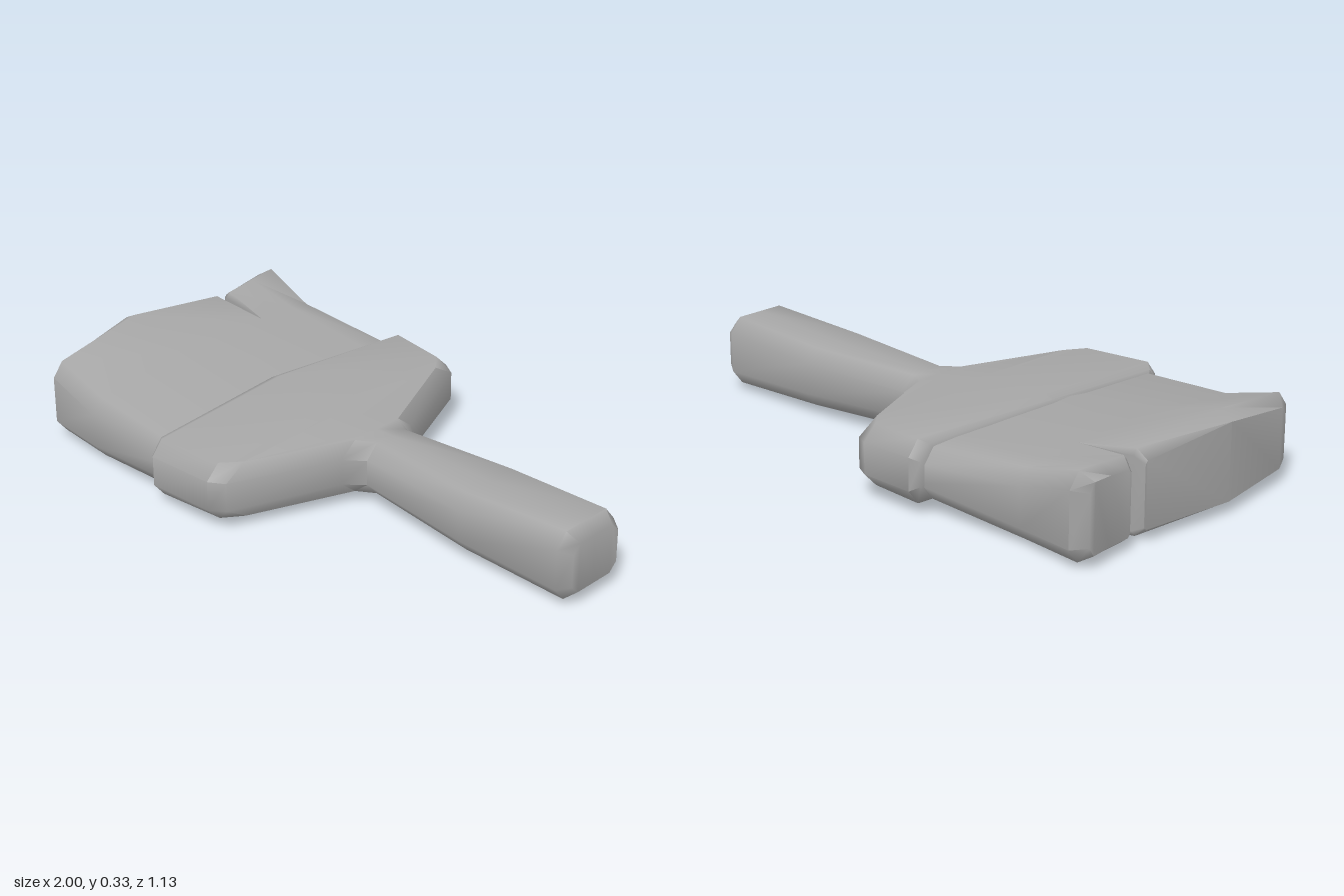
import * as THREE from 'three';
import { mergeGeometries } from 'three/addons/utils/BufferGeometryUtils.js';

// One bevelled cross-section. x, z, top and bottom are given at front, middle and back;
// each bevel is [inset in z, inset in y].
function ring([x, z, top, bottom, front, back]) {
  const p = (i, dz, y) => new THREE.Vector3(x[i], y, z[i] + dz);
  return [
    p(0, 0, bottom[0] + front[1]), p(0, 0, top[0] - front[1]), p(0, -front[0], top[0]),
    p(1, 0, top[1]),
    p(2, back[0], top[2]), p(2, 0, top[2] - back[1]), p(2, 0, bottom[2] + back[1]), p(2, back[0], bottom[2]),
    p(1, 0, bottom[1]),
    p(0, -front[0], bottom[0]),
  ];
}

// Skins cross-sections that run in +x, and closes the chosen end.
function loft(sections, capStart, capEnd) {
  const rings = sections.map(ring);
  const pos = [];
  const quad = (a, b, c, d) => [a, b, c, a, c, d].forEach((v) => pos.push(v.x, v.y, v.z));
  for (let i = 0; i < rings.length - 1; i++) {
    const r = rings[i], s = rings[i + 1];
    for (let j = 0; j < 10; j++) {
      const k = (j + 1) % 10;
      quad(r[j], s[j], s[k], r[k]);
    }
  }
  const strips = [[0, 1, 2, 9], [9, 2, 3, 8], [8, 3, 4, 7], [7, 4, 5, 6]];
  for (const c of strips) {
    const r = rings[0], s = rings[rings.length - 1];
    if (capStart) quad(...c.map((i) => r[i]));
    if (capEnd) quad(...c.map((i) => s[i]).reverse());
  }
  const g = new THREE.BufferGeometry();
  g.setAttribute('position', new THREE.Float32BufferAttribute(pos, 3));
  return g;
}

// Area-weighted smooth normals, kept sharp across steep edges.
function smooth(geometry, crease = 0.95) {
  const pos = geometry.attributes.position;
  const at = (i) => new THREE.Vector3().fromBufferAttribute(pos, i);
  const key = (v) => v.toArray().map((n) => Math.round(n * 1e4)).join();
  const faces = [], shared = {};
  for (let i = 0; i < pos.count; i += 3) {
    const [a, b, c] = [at(i), at(i + 1), at(i + 2)];
    const n = b.clone().sub(a).cross(c.clone().sub(a));
    const face = { n, u: n.clone().normalize() };
    faces.push(face);
    for (const v of [a, b, c]) (shared[key(v)] ??= []).push(face);
  }
  const normals = [];
  for (let i = 0; i < pos.count; i++) {
    const own = faces[Math.floor(i / 3)];
    const sum = new THREE.Vector3();
    for (const f of shared[key(at(i))]) if (f.u.dot(own.u) > Math.cos(crease)) sum.add(f.n);
    normals.push(...sum.normalize().toArray());
  }
  geometry.setAttribute('normal', new THREE.Float32BufferAttribute(normals, 3));
  return geometry;
}

export function createModel() {
  const grey = new THREE.MeshStandardMaterial({ color: 0xa6a6a6 });
  grey.name = 'grey';
  const model = new THREE.Group();
  model.name = 'paintBrush';
  const add = (name, geometry) => {
    const mesh = new THREE.Mesh(smooth(geometry), grey);
    mesh.name = name;
    model.add(mesh);
  };
  const all = (v) => [v, v, v];
  const B = [0.04, 0.05];

  // Wide head flowing into the handle
  add('headAndHandle', loft([
    [[-0.385, -0.392, -0.342], [0.525, 0, -0.53], [0.21, 0.24, 0.22], [0.07, 0.06, 0.07], B, B],
    [[-0.38, -0.387, -0.337], [0.54, 0, -0.545], [0.235, 0.262, 0.24], [0.06, 0.05, 0.06], B, B],
    [[-0.35, -0.355, -0.31], [0.565, 0, -0.57], [0.25, 0.277, 0.255], [0.045, 0.04, 0.045], B, B],
    [all(-0.11), [0.547, 0, -0.562], [0.25, 0.26, 0.25], [0.045, 0.042, 0.045], [0.05, 0.05], [0.05, 0.05]],
    [all(-0.06), [0.51, 0, -0.535], [0.248, 0.256, 0.248], [0.046, 0.044, 0.046], [0.08, 0.05], [0.08, 0.05]],
    [all(0.085), [0.14, -0.02, -0.18], all(0.242), all(0.05), [0.06, 0.05], [0.06, 0.05]],
    [all(0.145), [0.085, -0.025, -0.13], all(0.24), all(0.05), [0.045, 0.05], [0.045, 0.05]],
    [all(0.57), [0.115, -0.028, -0.17], all(0.25), all(0.043), B, B],
    [all(0.955), [0.1, -0.03, -0.165], all(0.273), all(0.031), B, B],
    [all(0.995), [0.07, -0.03, -0.14], all(0.24), all(0.065), [0.03, 0.03], [0.03, 0.03]],
  ], false, true));

  // Bristles: two blocks that join at the root and part at a narrow notch
  const none = [0, 0];
  const cut = -0.255;
  const frontBlock = loft([
    [[-0.965, -1, -0.955], [0.45, 0.12, -0.235], [0.265, 0.31, 0.27], [0.06, 0.05, 0.05], [0.02, 0.03], [0.01, 0.01]],
    [[-0.925, -0.95, -0.915], [0.507, 0.13, -0.243], [0.297, 0.34, 0.3], [0.03, 0.02, 0.02], B, [0.015, 0.02]],
    [all(-0.71), [0.515, 0.12, cut], [0.24, 0.286, 0.272], [0.022, 0.008, 0.006], B, none],
    [all(-0.3), [0.532, 0.08, cut], [0.222, 0.242, 0.235], [0.06, 0.052, 0.054], B, none],
  ], true, false);
  const backBlock = loft([
    [[-0.955, -0.96, -0.968], [-0.3, -0.4, -0.5], [0.265, 0.275, 0.28], [0.05, 0.05, 0.05], [0.01, 0.01], [0.02, 0.03]],
    [[-0.915, -0.92, -0.925], [-0.273, -0.4, -0.542], [0.295, 0.304, 0.31], [0.02, 0.02, 0.025], [0.015, 0.02], B],
    [all(-0.71), [cut, -0.4, -0.512], [0.272, 0.268, 0.255], [0.006, 0.01, 0.022], none, B],
    [all(-0.3), [cut, -0.4, -0.535], [0.235, 0.232, 0.225], [0.054, 0.056, 0.06], none, B],
  ], true, false);
  add('bristles', mergeGeometries([frontBlock, backBlock]));

  return model;
}
